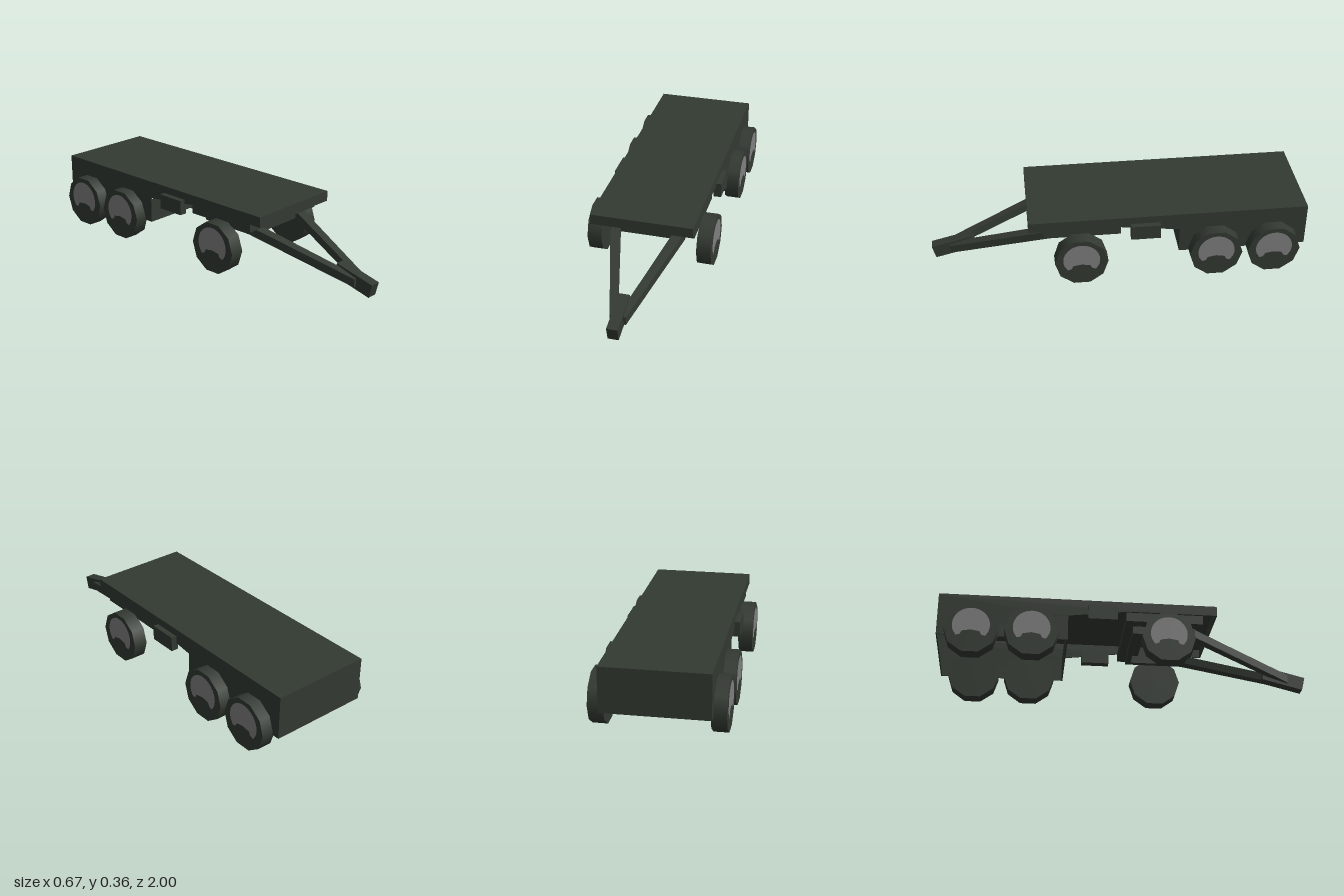
import * as THREE from 'three';

export function createModel() {
  const model = new THREE.Group();
  model.name = 'flatbedTrailer';
  const green = new THREE.MeshStandardMaterial({ color: 0x333a32 });
  green.name = 'dark green paint';
  const grey = new THREE.MeshStandardMaterial({ color: 0x808080 });
  grey.name = 'hub grey';

  const add = (name, geometry, material = green) => {
    const mesh = new THREE.Mesh(geometry, material);
    mesh.name = name;
    model.add(mesh);
    return mesh;
  };
  // Box given by its limits on each axis
  const box = (name, x0, x1, y0, y1, z0, z1) => {
    const g = new THREE.BoxGeometry(x1 - x0, y1 - y0, z1 - z0);
    g.translate((x0 + x1) / 2, (y0 + y1) / 2, (z0 + z1) / 2);
    return add(name, g);
  };
  // Rectangular frame lying flat, made of four rails
  const frame = (name, halfX, y0, y1, z0, z1, rail) => {
    for (const s of [-1, 1]) {
      const c = s * (halfX - rail / 2);
      box(name + 'SideRail', c - rail / 2, c + rail / 2, y0, y1, z0, z1);
    }
    box(name + 'FrontRail', -halfX + rail, halfX - rail, y0, y1, z1 - rail, z1);
    box(name + 'RearRail', -halfX + rail, halfX - rail, y0, y1, z0, z0 + rail);
  };

  // Body shell: thin deck and walls, open underneath
  const t = 0.006;
  box('deck', -0.27, 0.27, 0.36 - t, 0.36, -1, 0.475);
  box('frontLip', -0.27 + t, 0.27 - t, 0.305, 0.36 - t, 0.475 - t, 0.475);
  box('rearPanel', -0.27 + t, 0.27 - t, 0.125, 0.36 - t, -1, -1 + t);
  box('skirtFrontPanel', -0.27 + t, 0.27 - t, 0.125, 0.255, -0.32 - t, -0.32);

  // Side walls step down through a shallow slope to the rear skirt
  const wallProfile = new THREE.Shape([
    [-0.475, 0.36 - t], [-0.475, 0.305], [0, 0.305], [0.32, 0.265],
    [0.32, 0.125], [1, 0.125], [1, 0.36 - t],
  ].map(([x, y]) => new THREE.Vector2(x, y)));
  const wall = new THREE.ExtrudeGeometry(wallProfile, { depth: t, bevelEnabled: false });
  wall.translate(0, 0, -t / 2).rotateY(Math.PI / 2);
  for (const s of [-1, 1]) add('sideWall', wall).position.x = s * (0.27 - t / 2);

  // Turntable frames under the front of the deck
  frame('upperFrame', 0.26, 0.255, 0.305, -0.01, 0.4, 0.04);
  frame('lowerFrame', 0.2, 0.212, 0.255, 0.03, 0.365, 0.028);
  box('frameCrossbar', -0.22, 0.22, 0.255, 0.305, 0.07, 0.1);

  // Side lockers
  for (const s of [-1, 1]) {
    const c = s * 0.279;
    box('sideLocker', c - 0.021, c + 0.021, 0.24, 0.32, -0.215, -0.06);
  }

  // Drawbar arms: boxes whose two ends are placed separately
  for (const s of [-1, 1]) {
    const g = new THREE.BoxGeometry(1, 1, 1);
    const p = g.attributes.position;
    for (let i = 0; i < p.count; i++) {
      const front = p.getZ(i) > 0;
      const [cx, w, y0, y1, z] = front
        ? [0.02, 0.042, 0.035, 0.08, 0.9]
        : [0.172, 0.056, 0.21, 0.255, 0.355];
      p.setXYZ(i, s * cx + p.getX(i) * w, p.getY(i) < 0 ? y0 : y1, z);
    }
    g.computeVertexNormals();
    add('drawbarArm', g);
  }
  const hitch = add('hitch', new THREE.BoxGeometry(0.056, 0.074, 0.226));
  hitch.position.set(0, 0.064, 0.88);
  hitch.rotation.x = 0.245;

  // Worn grey hub patch: round above, ragged below
  const hubShape = new THREE.Shape();
  hubShape.absarc(0, 0.015, 0.097, -0.35, Math.PI + 0.35, false);
  for (const [x, y] of [[-0.075, -0.045], [-0.055, -0.04], [-0.045, -0.02], [0, -0.012],
    [0.045, -0.02], [0.055, -0.04], [0.075, -0.045]]) hubShape.lineTo(x, y);
  const hubGeometry = new THREE.ShapeGeometry(hubShape, 10);

  // Ten-sided wheels with smooth treads
  const wheelGeometry = new THREE.CylinderGeometry(0.1405, 0.1405, 0.077, 10);
  wheelGeometry.rotateZ(Math.PI / 2);
  for (const z of [0.205, -0.51, -0.82]) {
    for (const s of [-1, 1]) {
      add('wheel', wheelGeometry).position.set(s * 0.2955, 0.138, z);
      const hub = add('hubPatch', hubGeometry, grey);
      hub.position.set(s * 0.3355, 0.138, z);
      hub.rotation.y = s * Math.PI / 2;
    }
  }
  return model;
}
